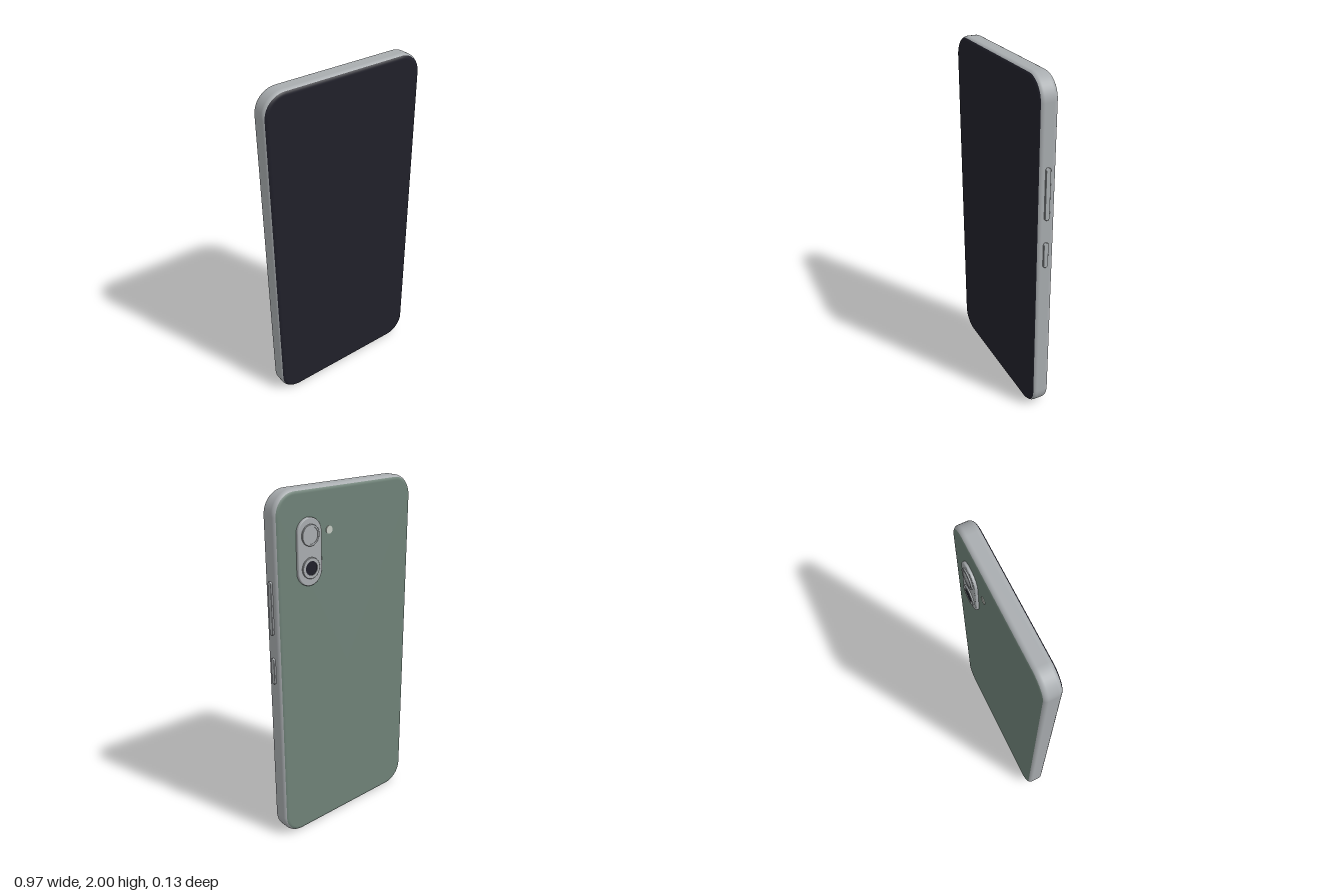
import * as THREE from 'three';

const mat = (name, color) => {
  const m = new THREE.MeshStandardMaterial({ color });
  m.name = name;
  return m;
};

// Outline of a rounded rectangle: corner centres plus outward directions
function outline(w, h, r, steps = 12) {
  const pts = [];
  const corners = [[1, 1], [-1, 1], [-1, -1], [1, -1]];
  corners.forEach(([sx, sy], q) => {
    for (let i = 0; i <= steps; i++) {
      const a = (q + i / steps) * Math.PI / 2;
      pts.push({ x: sx * (w / 2 - r), y: sy * (h / 2 - r), nx: Math.cos(a), ny: Math.sin(a) });
    }
  });
  return pts;
}

// Part of a pillow-edged slab, swept from angle a0 to a1 (degrees, -90 back, 90 front);
// reaching +-90 also closes that side with a flat cap
function slab({ w, h, r, fillet, back, front, a0 = -90, a1 = 90 }) {
  const ring = outline(w, h, r), n = ring.length, profile = [];
  const at = (deg, z0) => {
    const a = THREE.MathUtils.degToRad(deg);
    return { a, off: r - fillet * (1 - Math.cos(a)), z: z0 + fillet * Math.sin(a) };
  };
  const arc = (from, to, z0) => {
    for (let i = 0; i <= 6; i++) profile.push(at(from + (to - from) * i / 6, z0));
  };
  if (a0 === -90) profile.push({ a: -Math.PI / 2, cap: true, z: back });
  if (a0 < 0) arc(a0, Math.min(0, a1), back + fillet);
  if (a1 > 0) arc(Math.max(0, a0), a1, front - fillet);
  if (a1 === 90) profile.push({ a: Math.PI / 2, cap: true, z: front });

  const pos = [], nor = [], idx = [];
  profile.forEach((p, i) => ring.forEach((c, j) => {
    pos.push(p.cap ? 0 : c.x + c.nx * p.off, p.cap ? 0 : c.y + c.ny * p.off, p.z);
    nor.push(c.nx * Math.cos(p.a), c.ny * Math.cos(p.a), Math.sin(p.a));
    if (i === profile.length - 1) return;
    const a = i * n + j, b = i * n + (j + 1) % n;
    if (!profile[i + 1].cap) idx.push(a, b + n, a + n);
    if (!p.cap) idx.push(a, b, b + n);
  }));
  // a back cap still needs its fan, supplied by the first triangle of each quad
  const g = new THREE.BufferGeometry();
  g.setAttribute('position', new THREE.Float32BufferAttribute(pos, 3));
  g.setAttribute('normal', new THREE.Float32BufferAttribute(nor, 3));
  g.setIndex(idx);
  return g;
}

export function createModel() {
  const silver = mat('silver metal', 0xa9adb0);
  const green = mat('sage green back', 0x6f8278);
  const black = mat('dark glass', 0x20202a);
  const pale = mat('pale flash', 0xc4cac2);

  const phone = new THREE.Group();
  phone.name = 'phone';
  const add = (name, geo, material, x, y, z = 0) => {
    const m = new THREE.Mesh(geo, material);
    m.name = name;
    m.position.set(x, y, z);
    phone.add(m);
    return m;
  };

  // Body: green back, metal frame, dark glass front
  const body = { w: 0.96, h: 2, r: 0.125, fillet: 0.028, back: -0.042, front: 0.063 };
  add('backPanel', slab({ ...body, a1: -55 }), green, -0.005, 1);
  add('frame', slab({ ...body, a0: -55, a1: 45 }), silver, -0.005, 1);
  add('screen', slab({ ...body, a0: 45 }), black, -0.005, 1);

  // Side buttons
  for (const [name, y, h] of [['volumeButton', 1.405, 0.29], ['powerButton', 1.055, 0.15]]) {
    const geo = slab({ w: 0.028, h, r: 0.0139, fillet: 0.004, back: -0.01, front: 0.01 });
    add(name, geo, silver, 0.475, y, 0.01).rotation.y = Math.PI / 2;
  }

  // Camera plate
  const camX = 0.268;
  add('cameraPlate', slab({ w: 0.157, h: 0.355, r: 0.078, fillet: 0.006, back: -0.058, front: -0.034 }),
    silver, camX, 1.677);

  // Lenses: raised ring with a slightly recessed disc
  const lenses = [['upper', 1.765, 0.045, silver], ['lower', 1.595, 0.038, black]];
  for (const [name, y, inner, material] of lenses) {
    const section = [[0.056, 0], [0.056, 0.009], [0.056, 0.009], [0.054, 0.011], [0.054, 0.011],
      [inner, 0.011], [inner, 0.011], [inner, 0.007]].map(p => new THREE.Vector2(...p));
    const ring = new THREE.LatheGeometry(section, 40);
    add(name + 'LensRing', ring, silver, camX, y, -0.056).rotation.x = -Math.PI / 2;
    add(name + 'Lens', new THREE.CircleGeometry(inner, 40), material, camX, y, -0.0645).rotation.y = Math.PI;
  }

  // Flash
  add('flash', new THREE.CylinderGeometry(0.021, 0.021, 0.008, 28), pale, 0.128, 1.77, -0.042)
    .rotation.x = Math.PI / 2;

  return phone;
}
